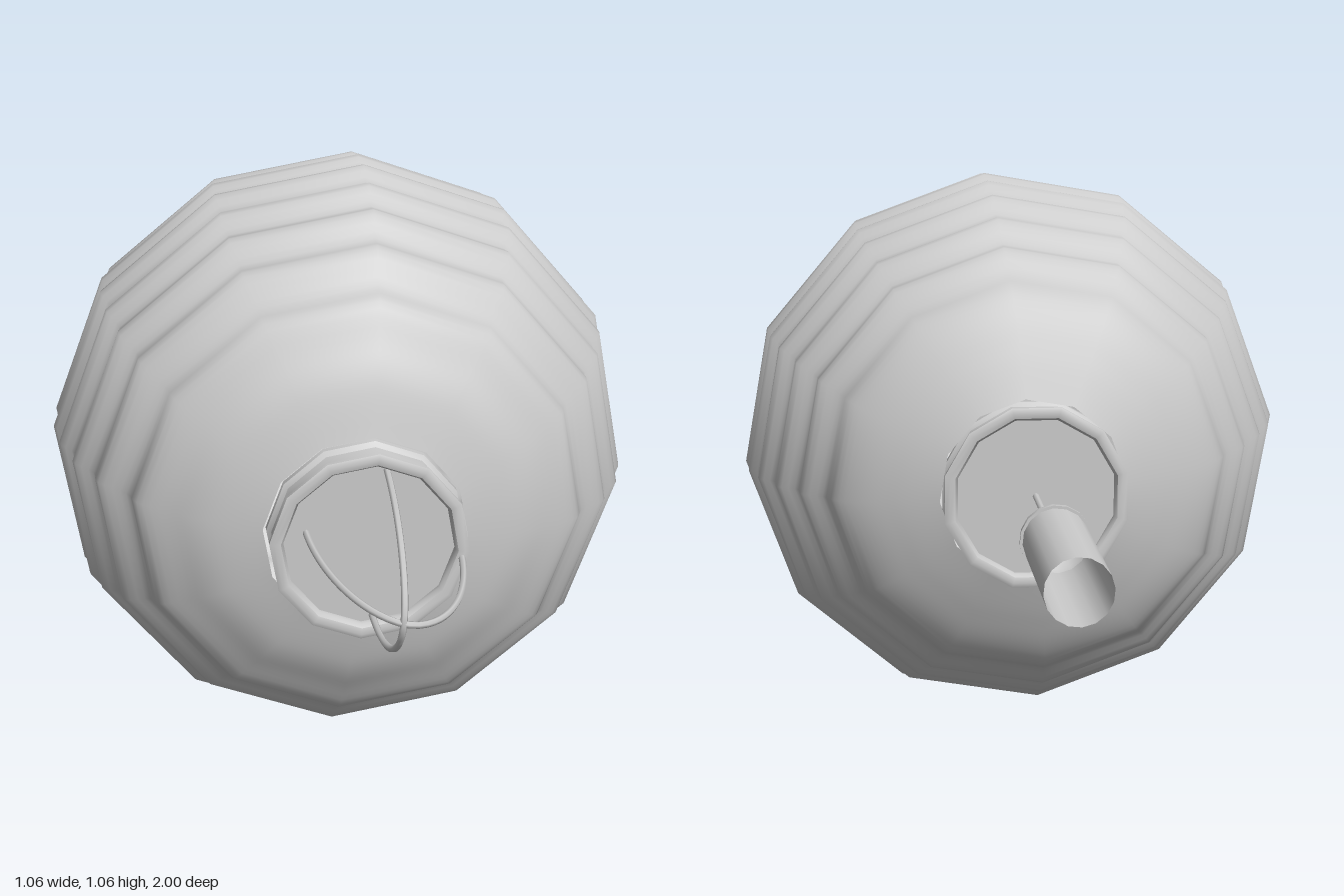
import * as THREE from 'three';
import { toCreasedNormals } from 'three/addons/utils/BufferGeometryUtils.js';

const SIDES = 12;
const TWIST = -5 * Math.PI / 180;
const AXIS_Y = 0.53;

export function createModel() {
  const model = new THREE.Group();
  const mat = new THREE.MeshStandardMaterial({ color: 0xcccccc, side: THREE.DoubleSide });

  const add = (name, geometry) => {
    const mesh = new THREE.Mesh(geometry, mat);
    mesh.name = name;
    mesh.position.y = AXIS_Y;
    model.add(mesh);
    return mesh;
  };
  // Revolve [radius, z] points (z rising on the outside) about the z axis
  const lathe = (points, sides = SIDES) => new THREE.LatheGeometry(
    points.map(([r, z]) => new THREE.Vector2(r, z)), sides, TWIST).rotateX(Math.PI / 2);

  // Paper body: smooth envelope with ripples that fade at both ends
  const envelope = new THREE.SplineCurve([
    [0.175, -0.31], [0.26, -0.275], [0.335, -0.235], [0.385, -0.18], [0.435, -0.1],
    [0.485, 0], [0.515, 0.1], [0.525, 0.21], [0.51, 0.32], [0.475, 0.42],
    [0.425, 0.5], [0.36, 0.567], [0.28, 0.612], [0.18, 0.642],
  ].map(([r, z]) => new THREE.Vector2(r, z)));
  const body = envelope.getSpacedPoints(100).map(({ x, y }) => {
    const fade = THREE.MathUtils.smoothstep(y, -0.28, -0.12) * (1 - THREE.MathUtils.smoothstep(y, 0.54, 0.63));
    return [x + 0.009 * fade * Math.cos((y - 0.21) / 0.085 * Math.PI * 2), y];
  });
  add('paperBody', lathe(body));

  // End caps: flanged collar with a rolled lip and a recessed disc
  const collar = [
    [0.174, -0.01], [0.174, 0.002], [0.166, 0.01], [0.166, 0.046], [0.174, 0.053],
    [0.174, 0.06], [0.165, 0.064], [0.154, 0.061], [0.149, 0.053], [0.149, 0.044], [0, 0.044],
  ];
  const capGeometry = toCreasedNormals(lathe(collar), 0.75);
  const frontCap = add('frontCap', capGeometry);
  frontCap.position.z = 0.64;
  const backCap = add('backCap', capGeometry);
  backCap.position.z = -0.3;
  // turned about the twisted cross axis so the corners line up with the body
  backCap.rotation.y = Math.PI;
  backCap.rotation.z = 2 * TWIST;

  // Two crossed wire bails at the front
  for (const [name, angle, cx, half] of [['uprightWire', 85, 0.018, 0.138], ['crossWire', -11, 0.026, 0.138]]) {
    const a = angle * Math.PI / 180;
    const points = [];
    for (let i = -12; i <= 12; i++) {
      const t = i / 12 * Math.PI / 2;
      const w = half * Math.sign(t) * Math.abs(Math.sin(t)) ** 1.08;
      points.push(new THREE.Vector3(cx + w * Math.cos(a), w * Math.sin(a), 0.64 + 0.352 * Math.cos(t)));
    }
    add(name, new THREE.TubeGeometry(new THREE.CatmullRomCurve3(points), 48, 0.006, 6));
  }

  // Cord from the back cap to the handle
  const cord = add('cord', new THREE.CylinderGeometry(0.006, 0.006, 0.29, 8).rotateX(Math.PI / 2));
  cord.position.z = -0.485;

  // Hollow handle, open at its far end, with a rounded nose
  add('handleTube', lathe([[0.058, -1], [0.058, -0.67]], 16));
  const nose = [[0.058, -0.674], [0.063, -0.674]];
  for (let i = 0; i <= 8; i++) {
    const t = i / 8 * Math.PI / 2;
    nose.push([0.063 * Math.cos(t), -0.67 + 0.058 * Math.sin(t)]);
  }
  add('handleNose', toCreasedNormals(lathe(nose, 16), 0.75));

  return model;
}
